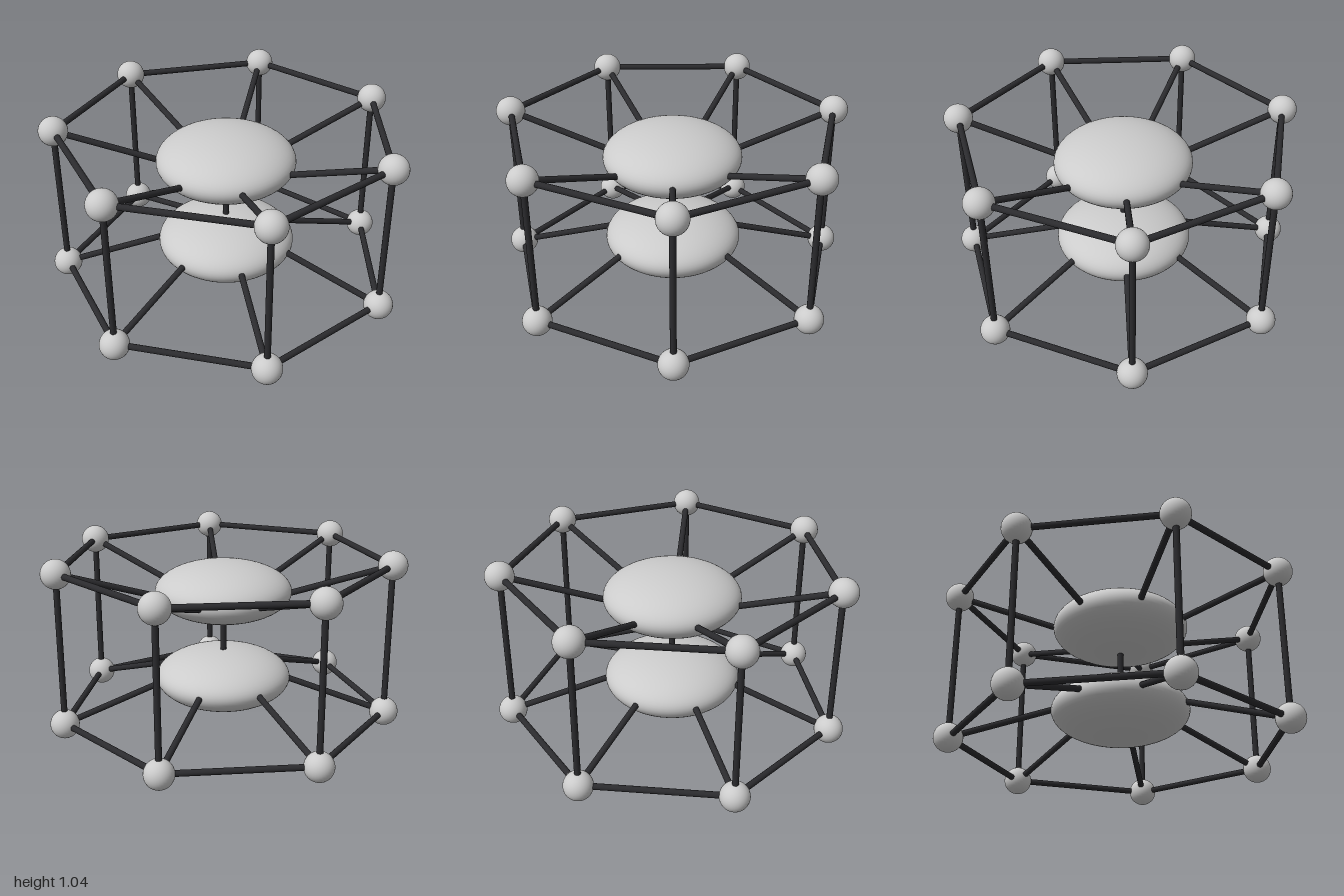
import * as THREE from 'three';

const SIDES = 7;
const RING = 0.942;      // ring radius
const CZ = 0.042;        // ring centre in z
const BALL = 0.082;
const ROD = 0.0175;
const HUB = 0.39;
const LEVELS = [
  { name: 'lower', ringY: 0.082, hubY: 0.26 },
  { name: 'upper', ringY: 0.957, hubY: 0.78 },
];

export function createModel() {
  const model = new THREE.Group();
  const grey = new THREE.MeshStandardMaterial({ color: 0xcccccc });
  const dark = new THREE.MeshStandardMaterial({ color: 0x2b2b2e });
  const ballGeo = new THREE.SphereGeometry(BALL, 32, 20);
  const hubGeo = new THREE.SphereGeometry(HUB, 64, 32);
  const up = new THREE.Vector3(0, 1, 0);

  // Point i of the heptagon, first corner at the back
  const corner = (i, radius, y) => {
    const a = (i / SIDES) * Math.PI * 2;
    return new THREE.Vector3(Math.sin(a) * radius, y, CZ - Math.cos(a) * radius);
  };

  // Round bar between two points
  const addRod = (name, a, b) => {
    const dir = b.clone().sub(a);
    const rod = new THREE.Mesh(new THREE.CylinderGeometry(ROD, ROD, dir.length(), 16), dark);
    rod.name = name;
    rod.position.copy(a).add(b).multiplyScalar(0.5);
    rod.quaternion.setFromUnitVectors(up, dir.normalize());
    model.add(rod);
  };

  for (const { name, ringY, hubY } of LEVELS) {
    // Flattened central hub
    const hub = new THREE.Mesh(hubGeo, grey);
    hub.name = `${name}Hub`;
    hub.scale.y = 0.163 / HUB;
    hub.position.set(0, hubY, CZ);
    model.add(hub);

    // Corner balls, ring bars and spokes
    for (let i = 0; i < SIDES; i++) {
      const p = corner(i, RING, ringY);
      const ball = new THREE.Mesh(ballGeo, grey);
      ball.name = `${name}Ball`;
      ball.position.copy(p);
      model.add(ball);
      addRod(`${name}RingBar`, p, corner(i + 1, RING, ringY));
      addRod(`${name}Spoke`, p, corner(i, HUB - 0.005, hubY));
    }
  }

  // Uprights joining the rings, and the axle joining the hubs
  const [low, high] = LEVELS;
  for (let i = 0; i < SIDES; i++) {
    addRod('upright', corner(i, RING, low.ringY), corner(i, RING, high.ringY));
  }
  addRod('axle', corner(0, 0, low.hubY), corner(0, 0, high.hubY));

  return model;
}
